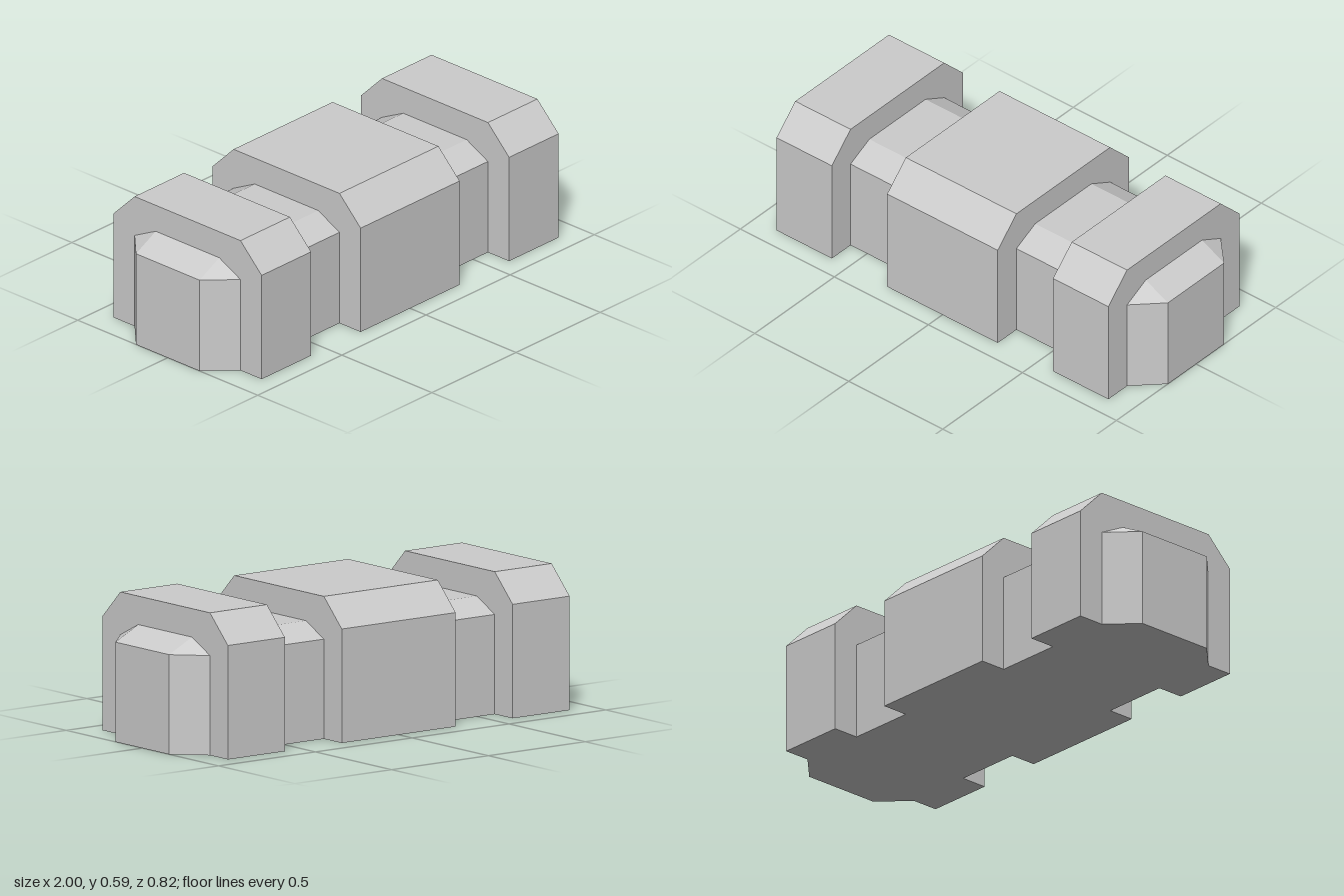
import * as THREE from 'three';
import { ConvexGeometry } from 'three/addons/geometries/ConvexGeometry.js';

const U = 1 / 17; // modelling unit

export function createModel() {
  const group = new THREE.Group();
  const material = new THREE.MeshStandardMaterial({ color: 0xcccccc, flatShading: true });

  const add = (name, geometry, x = 0) => {
    const mesh = new THREE.Mesh(geometry, material);
    mesh.name = name;
    mesh.position.x = x * U;
    group.add(mesh);
  };

  // Block with chamfered top edges, its profile in z/y swept along x
  const block = (width) => {
    const shape = new THREE.Shape(
      [[-7, 0], [7, 0], [7, 8], [5, 10], [-5, 10], [-7, 8]].map(([z, y]) => new THREE.Vector2(z * U, y * U))
    );
    const geometry = new THREE.ExtrudeGeometry(shape, { depth: width * U, bevelEnabled: false });
    geometry.translate(0, 0, -width * U / 2);
    return geometry.rotateY(Math.PI / 2);
  };

  // Lower core running the whole length, with chamfered corners and tapered ends
  const points = [];
  for (const sx of [-1, 1]) {
    for (const sz of [-1, 1]) {
      for (const [x, y, z] of [[15, 0, 5], [15, 7, 5], [15, 8, 3], [17, 0, 3], [17, 7, 3]]) {
        points.push(new THREE.Vector3(sx * x * U, y * U, sz * z * U));
      }
    }
  }
  add('core', new ConvexGeometry(points));

  // Raised blocks wrapped around the core
  add('middleBlock', block(10));
  add('leftBlock', block(5), 12.5);
  add('rightBlock', block(5), -12.5);

  return group;
}
